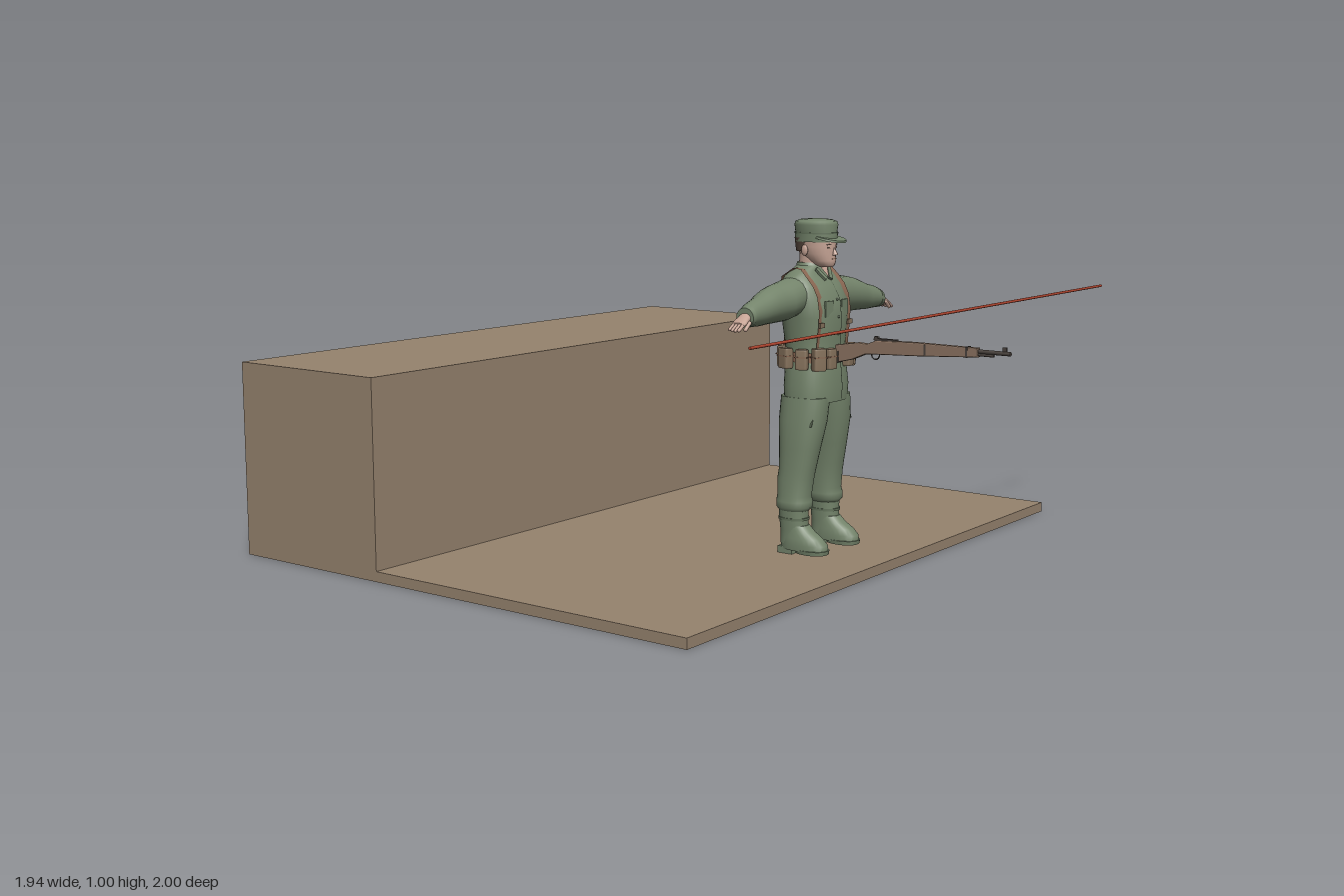
import * as THREE from 'three';

const mat = (name, color, side = THREE.FrontSide) => {
  const m = new THREE.MeshStandardMaterial({ color, side });
  m.name = name;
  return m;
};

// Smooth body from oval cross-sections [y, centreX, centreZ, radiusX, radiusZ], listed upwards
function loft(rows, n = 2, seg = 28) {
  const pos = [], idx = [], w = seg + 1;
  const ring = r => {
    for (let j = 0; j <= seg; j++) {
      const a = (j / seg) * Math.PI * 2, c = Math.cos(a), s = Math.sin(a);
      pos.push(r[1] + r[3] * Math.sign(c) * Math.abs(c) ** (2 / n), r[0],
        r[2] + r[4] * Math.sign(s) * Math.abs(s) ** (2 / n));
    }
  };
  rows.forEach(ring);
  for (let i = 0; i < rows.length - 1; i++) {
    for (let j = 0; j < seg; j++) {
      const a = i * w + j, c = a + w;
      idx.push(a, c, a + 1, a + 1, c, c + 1);
    }
  }
  [rows[0], rows[rows.length - 1]].forEach((r, end) => {
    const start = pos.length / 3;
    ring(r);
    pos.push(r[1], r[0], r[2]);
    for (let j = 0; j < seg; j++) {
      if (end) idx.push(start + w, start + j + 1, start + j);
      else idx.push(start + w, start + j, start + j + 1);
    }
  });
  const g = new THREE.BufferGeometry();
  g.setAttribute('position', new THREE.Float32BufferAttribute(pos, 3));
  g.setIndex(idx);
  g.computeVertexNormals();
  return g;
}

// Torso sections, also used to lay straps and pockets on the jacket
const TORSO = [
  [0.475, 0, 0.375, 0.106, 0.078], [0.52, 0, 0.375, 0.107, 0.08], [0.575, 0, 0.373, 0.1, 0.077],
  [0.61, 0, 0.372, 0.095, 0.073], [0.66, 0, 0.37, 0.099, 0.078], [0.72, 0, 0.368, 0.108, 0.082],
  [0.77, 0, 0.365, 0.115, 0.079], [0.81, 0, 0.356, 0.114, 0.066], [0.835, 0, 0.35, 0.1, 0.052],
  [0.851, 0, 0.35, 0.072, 0.042], [0.866, 0, 0.354, 0.042, 0.037]];
const TN = 2.4;
function torsoZ(x, y, dir, lift = 0.004) {
  let i = 0;
  while (i < TORSO.length - 2 && TORSO[i + 1][0] < y) i++;
  const p = TORSO[i], q = TORSO[i + 1], t = (y - p[0]) / (q[0] - p[0]);
  const [, , cz, rx, rz] = p.map((v, k) => v + (q[k] - v) * t);
  return cz + dir * (rz * Math.max(0, 1 - Math.abs(x / rx) ** TN) ** (1 / TN) + lift);
}

// Flat band through points, with its width along x
function ribbon(points, width) {
  const pos = [], idx = [];
  points.forEach(([x, y, z], i) => {
    pos.push(x - width / 2, y, z, x + width / 2, y, z);
    if (i) idx.push(2 * i - 2, 2 * i - 1, 2 * i, 2 * i, 2 * i - 1, 2 * i + 1);
  });
  const g = new THREE.BufferGeometry();
  g.setAttribute('position', new THREE.Float32BufferAttribute(pos, 3));
  g.setIndex(idx);
  g.computeVertexNormals();
  return g;
}

export function createModel() {
  const root = new THREE.Group();
  const earth = mat('earth brown', 0x96836e), green = mat('uniform green', 0x74846b),
    darkGreen = mat('seam green', 0x62715a), skin = mat('skin', 0xc4a293),
    leather = mat('strap brown', 0x8a6752, THREE.DoubleSide), canvas = mat('pouch canvas', 0x86725c),
    wood = mat('stock wood', 0x8c7462), metal = mat('dark metal', 0x4a433e),
    hair = mat('hair', 0x5a4a40), red = mat('wire red', 0xb0452f);

  let parent = root;
  const add = (name, geo, m, x = 0, y = 0, z = 0, ry = 0) => {
    const mesh = new THREE.Mesh(geo, m);
    mesh.name = name;
    mesh.position.set(x, y, z);
    mesh.rotation.y = ry;
    parent.add(mesh);
    return mesh;
  };
  const group = name => {
    parent = new THREE.Group();
    parent.name = name;
    root.add(parent);
  };
  const box = (w, h, d) => new THREE.BoxGeometry(w, h, d);

  // Ground slab, bank and wire
  add('groundSlab', box(1.936, 0.03, 1.09), earth, 0, 0.015, 0.09);
  add('bank', box(1.936, 0.578, 0.545), earth, 0, 0.289, -0.7275);
  add('wire', new THREE.CylinderGeometry(0.004, 0.004, 1.936, 8).rotateZ(Math.PI / 2), red, 0, 0.757, 0.82);

  // Jacket with placket, buttons, open neck and collar
  group('torso');
  add('jacket', loft(TORSO, TN, 40), green);
  const ys = [0.48, 0.52, 0.57, 0.62, 0.67, 0.72, 0.77, 0.81, 0.83];
  add('placketEdge', ribbon(ys.map(y => [0.012, y, torsoZ(0.012, y, 1, 0.002)]), 0.003), darkGreen);
  for (const y of [0.67, 0.72, 0.77]) {
    add('button', new THREE.SphereGeometry(0.004, 8, 6), darkGreen, 0, y, torsoZ(0, y, 1, 0));
  }
  add('collar', loft([[0.842, 0, 0.354, 0.054, 0.046], [0.86, 0, 0.353, 0.046, 0.042], [0.874, 0, 0.351, 0.04, 0.037]]), green);
  const vee = new THREE.Shape([[0, -0.022], [0.02, 0.02], [-0.02, 0.02]].map(p => new THREE.Vector2(...p)));
  add('openNeck', new THREE.ShapeGeometry(vee), skin, 0, 0.85, 0.405).rotation.x = -0.55;
  for (const s of [-1, 1]) {
    add('lapel', box(0.014, 0.042, 0.007), green, s * 0.022, 0.842, 0.403).rotation.set(-0.6, 0, s * -0.5);
  }

  // Arms and hands
  for (const s of [-1, 1]) {
    group(s > 0 ? 'leftArm' : 'rightArm');
    const along = rows => loft(rows.map(([x, cy, cz, ry, rz]) => [x, -s * cy, cz, ry, rz]), 2, 24).rotateZ(-s * Math.PI / 2);
    add('sleeve', along([
      [0.06, 0.79, 0.35, 0.046, 0.046], [0.105, 0.778, 0.35, 0.056, 0.058], [0.15, 0.769, 0.348, 0.056, 0.057],
      [0.19, 0.766, 0.35, 0.053, 0.05], [0.22, 0.763, 0.353, 0.05, 0.047], [0.25, 0.758, 0.355, 0.045, 0.043],
      [0.28, 0.752, 0.359, 0.04, 0.037], [0.32, 0.748, 0.364, 0.034, 0.033], [0.347, 0.743, 0.367, 0.027, 0.028]]), green);
    add('cuff', along([[0.335, 0.745, 0.366, 0.031, 0.031], [0.349, 0.742, 0.367, 0.028, 0.029]]), green);
    add('palm', along([[0.34, 0.745, 0.367, 0.014, 0.018], [0.358, 0.738, 0.368, 0.013, 0.02],
      [0.375, 0.73, 0.369, 0.011, 0.023], [0.386, 0.725, 0.37, 0.007, 0.021]]), skin);
    for (let f = 0; f < 4; f++) {
      const z = 0.354 + f * 0.0105, len = [0.024, 0.03, 0.032, 0.028][f];
      add('finger', new THREE.CapsuleGeometry(0.005, len, 3, 8), skin, s * 0.391, 0.721, z).rotation.z = s * 1.0;
    }
    const thumb = add('thumb', new THREE.CapsuleGeometry(0.0055, 0.026, 3, 8), skin, s * 0.37, 0.722, 0.391);
    thumb.rotation.z = s * 0.85;
  }

  // Trousers and boots
  for (const s of [-1, 1]) {
    group(s > 0 ? 'leftLeg' : 'rightLeg');
    const side = rows => loft(rows.map(([y, cx, ...r]) => [y, s * cx, ...r]), 2.3);
    add('trouserLeg', side([
      [0.158, 0.083, 0.356, 0.038, 0.045], [0.168, 0.082, 0.356, 0.046, 0.053], [0.185, 0.081, 0.356, 0.047, 0.053],
      [0.2, 0.08, 0.355, 0.044, 0.05], [0.25, 0.077, 0.357, 0.046, 0.054], [0.28, 0.075, 0.362, 0.045, 0.055],
      [0.34, 0.071, 0.367, 0.049, 0.062], [0.42, 0.063, 0.372, 0.055, 0.073], [0.49, 0.054, 0.374, 0.054, 0.074]]), green);
    add('bootShaft', side([
      [0.06, 0.083, 0.357, 0.034, 0.041], [0.1, 0.083, 0.358, 0.033, 0.043],
      [0.135, 0.083, 0.355, 0.036, 0.043], [0.17, 0.083, 0.355, 0.037, 0.045]]), green);
    add('bootFoot', side([
      [0.044, 0.084, 0.393, 0.038, 0.076], [0.062, 0.084, 0.393, 0.039, 0.076], [0.08, 0.084, 0.385, 0.036, 0.066],
      [0.096, 0.083, 0.372, 0.033, 0.053], [0.115, 0.083, 0.36, 0.032, 0.043]]), green);
    add('sole', side([[0.036, 0.084, 0.42, 0.038, 0.05], [0.048, 0.084, 0.42, 0.04, 0.052]]), green);
    add('heel', box(0.06, 0.02, 0.05), green, s * 0.083, 0.04, 0.343);
    add('bootStrap', side([[0.13, 0.083, 0.356, 0.038, 0.046], [0.137, 0.083, 0.356, 0.038, 0.046]]), darkGreen);
    add('pocketSeam', box(0.003, 0.05, 0.005), darkGreen, s * 0.097, 0.432, 0.427).rotation.z = s * 0.45;
  }

  // Head
  group('head');
  add('neck', loft([[0.845, 0, 0.354, 0.037, 0.036], [0.9, 0, 0.358, 0.034, 0.038]]), skin);
  add('face', loft([
    [0.862, 0, 0.404, 0.016, 0.022], [0.868, 0, 0.398, 0.025, 0.034], [0.88, 0, 0.389, 0.034, 0.045],
    [0.9, 0, 0.376, 0.042, 0.056], [0.92, 0, 0.372, 0.046, 0.061], [0.96, 0, 0.369, 0.048, 0.062]]), skin);
  add('hair', loft([[0.906, 0, 0.352, 0.042, 0.042], [0.945, 0, 0.358, 0.049, 0.053]]), hair);
  add('nose', new THREE.ConeGeometry(0.0085, 0.028, 8), skin, 0, 0.91, 0.434).rotation.x = -0.2;
  add('mouth', box(0.02, 0.0025, 0.004), leather, 0, 0.886, 0.432);
  for (const s of [-1, 1]) {
    add('eye', box(0.011, 0.004, 0.004), hair, s * 0.018, 0.918, 0.426, s * 0.3);
    add('brow', box(0.016, 0.0025, 0.004), hair, s * 0.019, 0.927, 0.427, s * 0.3);
    add('ear', new THREE.SphereGeometry(1, 10, 8).scale(0.006, 0.016, 0.011), skin, s * 0.047, 0.91, 0.362);
  }

  // Field cap, lower at the back
  group('cap');
  const crown = loft([[0.934, 0, 0.37, 0.051, 0.065], [0.957, 0, 0.371, 0.052, 0.066], [0.963, 0, 0.371, 0.052, 0.064],
    [0.983, 0, 0.371, 0.056, 0.066], [0.992, 0, 0.371, 0.053, 0.063], [0.997, 0, 0.371, 0.04, 0.048],
    [0.999, 0, 0.371, 0.02, 0.024]]);
  add('capCrown', crown, green);
  add('capBand', loft([[0.957, 0, 0.371, 0.0535, 0.0672], [0.961, 0, 0.371, 0.0535, 0.0672]]), darkGreen);
  add('capPeak', loft([[-0.003, 0, 0, 0.05, 0.05], [0.003, 0, 0, 0.048, 0.049]]), green, 0, 0.945, 0.416).rotation.x = 0.2;

  // Belt, pouches and shoulder straps
  group('webbing');
  add('belt', loft([[0.592, 0, 0.3725, 0.101, 0.08], [0.62, 0, 0.3725, 0.101, 0.08]], TN, 40), leather);
  add('buckle', box(0.024, 0.034, 0.008), metal, 0, 0.605, 0.453);
  const pouch = (x, z, ry, w = 0.036, h = 0.058) => {
    add('pouch', loft([[-h / 2, 0, 0, w * 0.46, 0.013], [-h * 0.4, 0, 0, w / 2, 0.0145],
      [h * 0.42, 0, 0, w / 2, 0.0145], [h / 2, 0, 0, w * 0.46, 0.012]], 5), canvas, x, 0.603, z, ry);
    add('pouchFlap', box(w + 0.002, 0.003, 0.031), leather, x, 0.61, z, ry);
  };
  for (const s of [-1, 1]) {
    pouch(s * 0.046, 0.452, s * 0.12);
    pouch(s * 0.085, 0.439, s * 0.5, 0.04, 0.064);
    pouch(s * 0.11, 0.397, s * 1.25);
    pouch(s * 0.105, 0.337, s * 1.9, 0.044);
    pouch(s * 0.058, 0.3, s * 2.95, 0.048, 0.06);

    const front = [0.62, 0.66, 0.7, 0.74, 0.78, 0.81, 0.835].map(y => [s * 0.073, y, torsoZ(0.079, y, 1, 0.007)]);
    const over = [[s * 0.071, 0.857, 0.372], [s * 0.07, 0.86, 0.345]];
    const back = [0.835, 0.81, 0.78, 0.74, 0.7, 0.66, 0.62].map(y => {
      const x = s * (-0.055 + (y - 0.62) * 0.57);
      return [x, y, torsoZ(Math.abs(x) + 0.007, y, -1, 0.006)];
    });
    add('shoulderStrap', ribbon([...front, ...over, ...back], 0.022), leather);
    add('strapBuckle', box(0.024, 0.014, 0.006), canvas, s * 0.073, 0.7, torsoZ(0.074, 0.7, 1, 0.008));
    add('chestPocket', box(0.036, 0.045, 0.005), green, s * 0.04, 0.745, torsoZ(0.045, 0.745, 1, 0), s * 0.08);
    add('pocketFlap', box(0.038, 0.003, 0.007), darkGreen, s * 0.04, 0.755, torsoZ(0.045, 0.755, 1, 0), s * 0.08);
  }

  // Rifle pointing forward; profile is drawn as (z, y)
  group('rifle');
  const stock = new THREE.Shape([
    [0.438, 0.588], [0.5, 0.603], [0.545, 0.622], [0.58, 0.624], [0.72, 0.63], [0.9, 0.641], [0.9, 0.661],
    [0.7, 0.662], [0.58, 0.658], [0.55, 0.646], [0.52, 0.648], [0.444, 0.636]].map(p => new THREE.Vector2(...p)));
  const stockGeo = new THREE.ExtrudeGeometry(stock, {
    depth: 0.012, bevelEnabled: true, bevelSize: 0.003, bevelThickness: 0.004, bevelSegments: 2 });
  add('stock', stockGeo.translate(0, 0, -0.006).rotateY(-Math.PI / 2), wood);
  const rod = (name, r, len, y, z) =>
    add(name, new THREE.CylinderGeometry(r, r, len, 10).rotateX(Math.PI / 2), metal, 0, y, z);
  rod('barrel', 0.006, 0.16, 0.654, 0.92);
  rod('gasTube', 0.004, 0.06, 0.645, 0.92);
  add('receiver', box(0.014, 0.008, 0.07), metal, 0, 0.663, 0.61);
  add('rearSight', box(0.012, 0.01, 0.012), metal, 0, 0.667, 0.578);
  add('frontSight', box(0.005, 0.016, 0.012), metal, 0, 0.663, 0.982);
  for (const [z, y] of [[0.74, 0.6465], [0.87, 0.6505]]) add('barrelBand', box(0.023, 0.03, 0.006), metal, 0, y, z);
  add('triggerGuard', new THREE.TorusGeometry(0.013, 0.002, 6, 16).rotateY(Math.PI / 2), metal, 0, 0.619, 0.575);

  return root;
}
